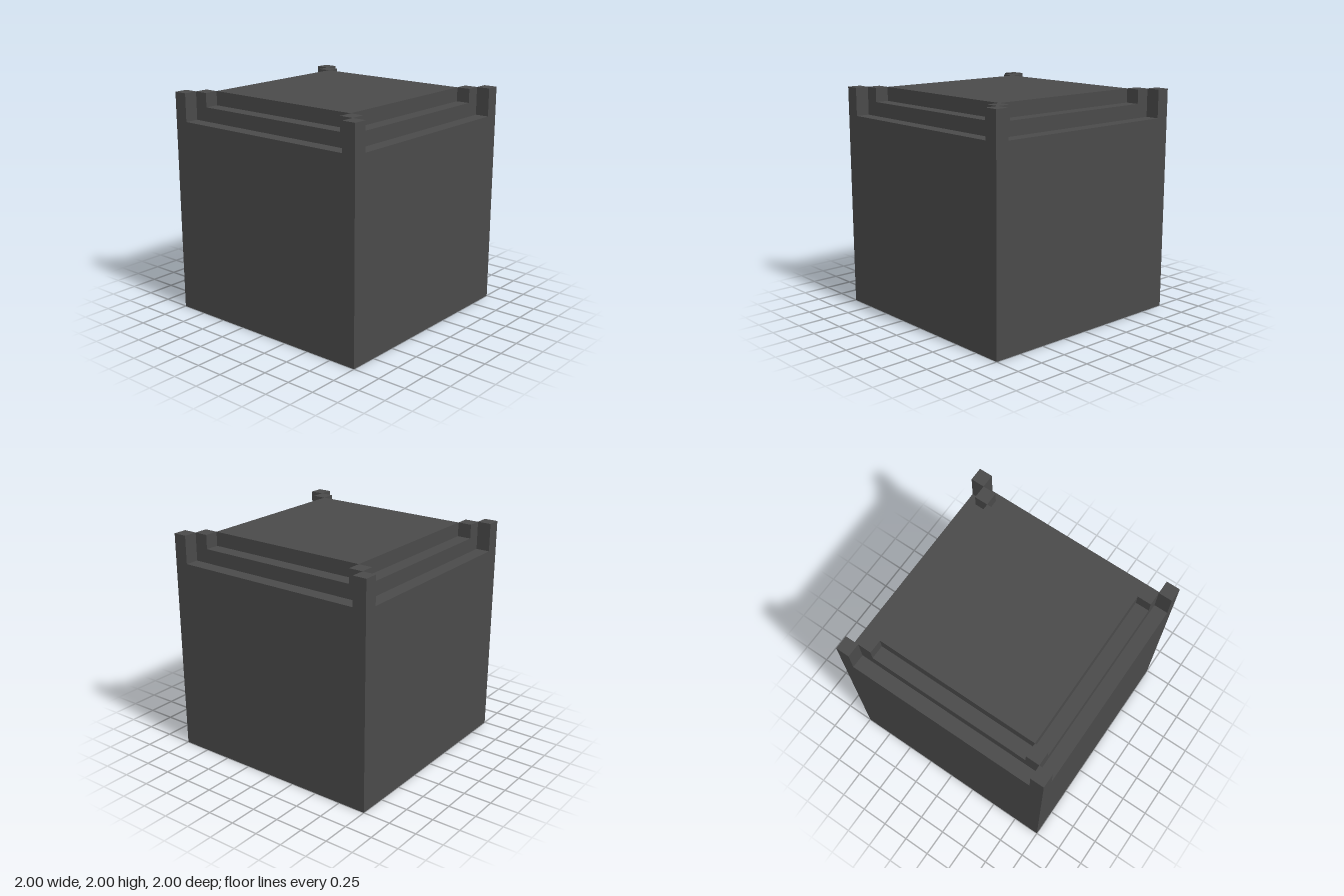
import * as THREE from 'three';

export function createModel() {
  const group = new THREE.Group();
  const charcoal = new THREE.MeshStandardMaterial({ color: 0x4a4a4a });
  charcoal.name = 'charcoal';
  const STEP = 0.125;

  // Square block resting on y = bottom
  function block(name, size, bottom, top, x = 0, z = 0) {
    const mesh = new THREE.Mesh(new THREE.BoxGeometry(size, top - bottom, size), charcoal);
    mesh.name = name;
    mesh.position.set(x, (bottom + top) / 2, z);
    group.add(mesh);
  }

  // Four posts, one on each corner of a step
  function cornerPosts(name, halfWidth, bottom) {
    const c = halfWidth - STEP / 2;
    for (const sx of [-1, 1]) {
      for (const sz of [-1, 1]) block(name, STEP, bottom, 2, sx * c, sz * c);
    }
  }

  // Stepped body
  block('body', 2, 0, 1.75);
  block('middleStep', 1.75, 1.75, 1.875);
  block('topPlate', 1.5, 1.875, 2);

  // Corner posts reach the level of the top plate
  cornerPosts('outerPost', 1, 1.75);
  cornerPosts('innerPost', 0.875, 1.875);

  return group;
}
